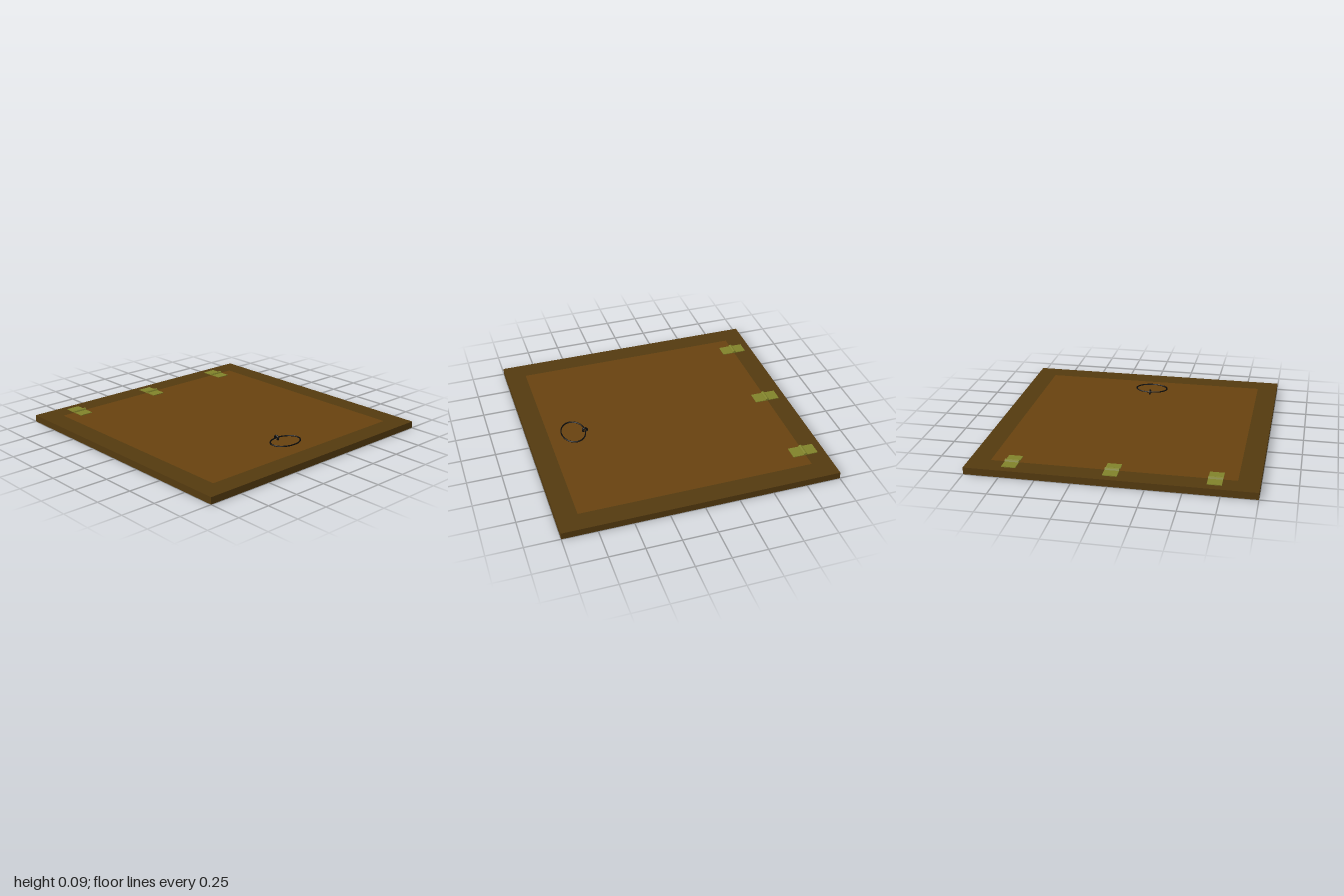
import * as THREE from 'three';

const material = (color) => new THREE.MeshStandardMaterial({ color });

function add(parent, name, geometry, mat, x = 0, y = 0, z = 0) {
  const mesh = new THREE.Mesh(geometry, mat);
  mesh.name = name;
  mesh.position.set(x, y, z);
  parent.add(mesh);
  return mesh;
}

export function createModel() {
  const model = new THREE.Group();
  model.name = 'trapdoor';

  const frameWood = material(0x543a0f);
  const panelWood = material(0x68420f);
  const brass = material(0x80822a);
  brass.flatShading = true;
  const iron = material(0x0a0a0a);

  const thickness = 0.05;
  const inner = 0.85;

  // Square border with a flush panel filling its opening
  const border = new THREE.Shape();
  border.moveTo(-1, -1).lineTo(1, -1).lineTo(1, 1).lineTo(-1, 1).closePath();
  const opening = new THREE.Path();
  opening.moveTo(-inner, -inner).lineTo(-inner, inner).lineTo(inner, inner).lineTo(inner, -inner).closePath();
  border.holes.push(opening);
  const frame = new THREE.ExtrudeGeometry(border, { depth: thickness, bevelEnabled: false });
  frame.rotateX(-Math.PI / 2);
  add(model, 'frame', frame, frameWood);
  add(model, 'panel', new THREE.BoxGeometry(inner * 2, thickness, inner * 2), panelWood, 0, thickness / 2, 0);

  // Three hinges along the back seam: two thin leaves and a barrel
  const leaf = new THREE.BoxGeometry(0.1, 0.006, 0.093);
  const barrel = new THREE.CylinderGeometry(0.015, 0.015, 0.1, 8).rotateZ(Math.PI / 2);
  for (const x of [-0.703, -0.003, 0.697]) {
    const hinge = new THREE.Group();
    hinge.name = 'hinge';
    hinge.position.set(x, thickness, -0.85);
    add(hinge, 'backLeaf', leaf, brass, 0, 0.002, -0.047);
    add(hinge, 'frontLeaf', leaf, brass, 0, 0.002, 0.047);
    add(hinge, 'barrel', barrel, brass, 0, 0.004, 0);
    model.add(hinge);
  }

  // Oval pull ring lying flat, held by a small upright staple loop
  const pull = new THREE.Group();
  pull.name = 'pullHandle';
  pull.position.set(-0.008, 0.064, 0);
  const ring = new THREE.TorusGeometry(0.122, 0.006, 8, 48).rotateX(Math.PI / 2).scale(1, 0.8, 0.72);
  add(pull, 'pullRing', ring, iron, 0, 0, 0.668);
  const staple = new THREE.TorusGeometry(0.017, 0.007, 8, 20).rotateY(Math.PI / 2);
  add(pull, 'staple', staple, iron, 0, -0.003, 0.58);
  model.add(pull);

  return model;
}
